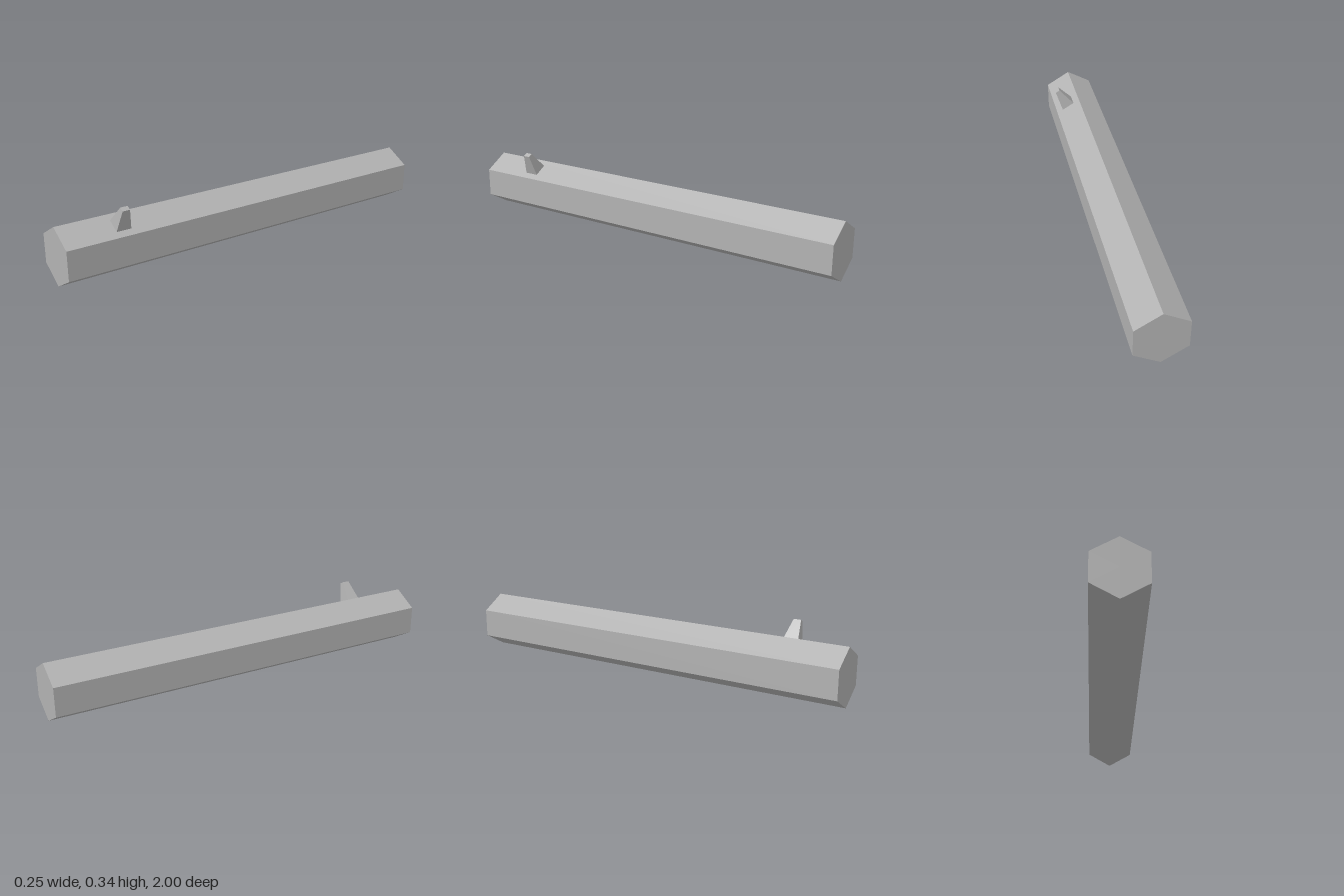
import * as THREE from 'three';

export function createModel() {
  const model = new THREE.Group();
  const grey = new THREE.MeshStandardMaterial({ color: 0xb2b2b2 });
  grey.name = 'grey';

  // Hexagonal bar lying along z, with an edge on top
  const R = 0.141, cx = -0.001;
  const barGeo = new THREE.CylinderGeometry(R, R, 2, 6).toNonIndexed();
  barGeo.rotateX(Math.PI / 2);
  barGeo.computeVertexNormals();
  const bar = new THREE.Mesh(barGeo, grey);
  bar.name = 'hexagonalBar';
  bar.position.set(cx, R, 0);
  model.add(bar);

  // Tapered peg standing on the upper left face
  const height = 0.105;
  let pegGeo = new THREE.BoxGeometry(0.07, height, 0.072);
  pegGeo.translate(0, height / 2, 0);
  const p = pegGeo.attributes.position;
  for (let i = 0; i < p.count; i++) {
    if (p.getY(i) > height / 2) {
      p.setX(i, p.getX(i) * 0.34);
      p.setZ(i, p.getZ(i) * 0.5);
    }
  }
  pegGeo = pegGeo.toNonIndexed();
  pegGeo.computeVertexNormals();
  const peg = new THREE.Mesh(pegGeo, grey);
  peg.name = 'taperedPeg';
  peg.position.set(0.0605, 0.2465, 0.714);
  peg.rotation.z = -Math.PI / 6;
  model.add(peg);

  return model;
}
